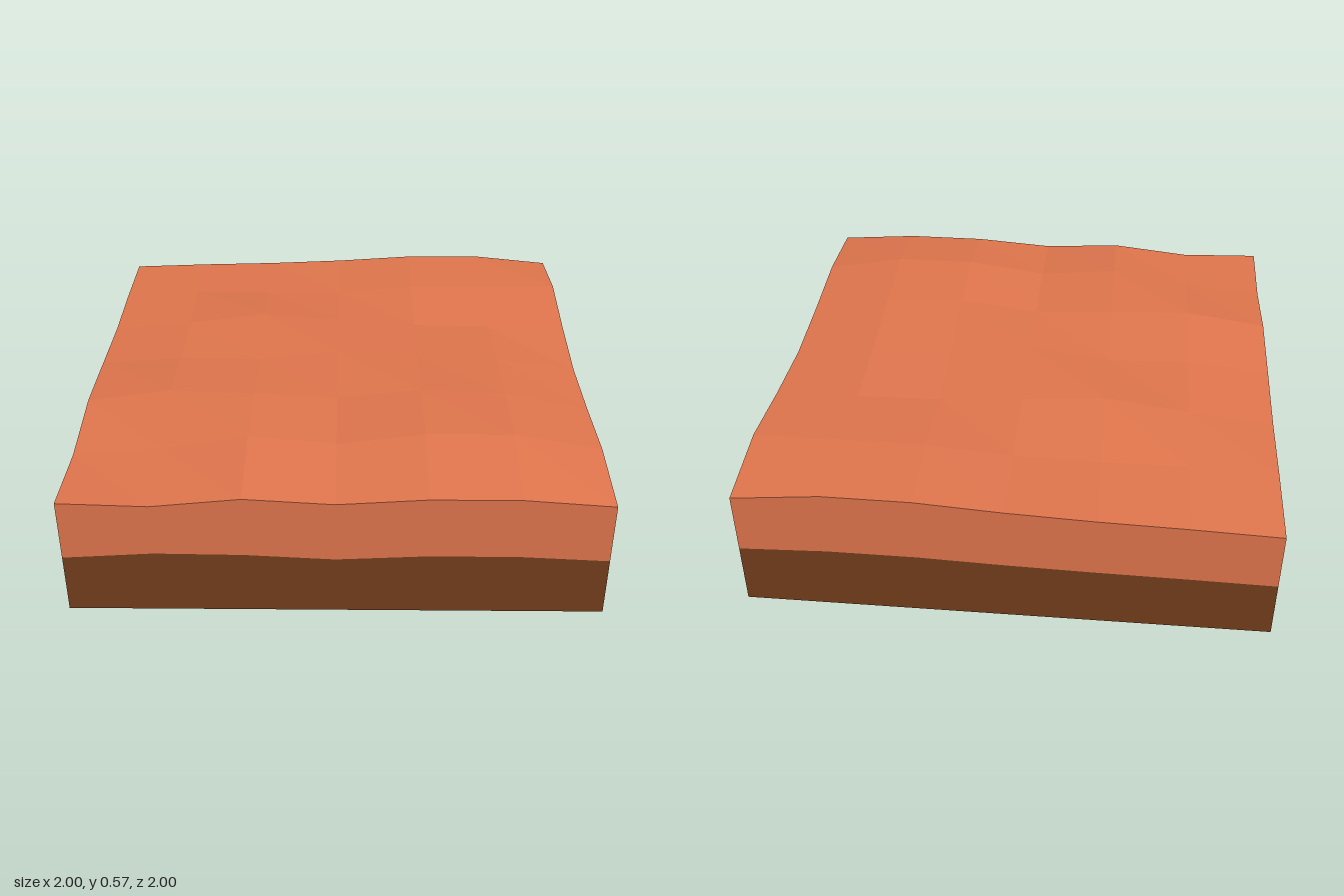
import * as THREE from 'three';

// Surface heights on a 7 x 7 grid: rows run from back (z = -1) to front, columns from x = -1 to 1
const SURFACE = [
  [0.475, 0.488, 0.497, 0.512, 0.535, 0.537, 0.503],
  [0.48, 0.50, 0.50, 0.505, 0.535, 0.537, 0.537],
  [0.475, 0.51, 0.556, 0.53, 0.505, 0.50, 0.497],
  [0.492, 0.52, 0.512, 0.556, 0.53, 0.52, 0.47],
  [0.508, 0.556, 0.545, 0.525, 0.565, 0.55, 0.484],
  [0.467, 0.50, 0.556, 0.525, 0.57, 0.57, 0.508],
  [0.484, 0.473, 0.508, 0.487, 0.51, 0.51, 0.484],
];
// Seam between the layers along the front and right sides
const SEAM_FRONT = [0.24, 0.262, 0.258, 0.24, 0.257, 0.257, 0.24];
const SEAM_RIGHT = [0.255, 0.28, 0.255, 0.235, 0.24, 0.257, 0.24];

const surface = (i, j) => SURFACE[j][i];
const seam = (i, j) =>
  j === 6 ? SEAM_FRONT[i] : i === 6 ? SEAM_RIGHT[j] : SURFACE[j][i] / 2;
const ground = () => 0;

// A square slab whose lower and upper faces follow height rules
function layer(name, lower, upper, color) {
  const box = new THREE.BoxGeometry(2, 1, 2, 6, 1, 6);
  box.rotateY(Math.PI / 2); // turns the facet diagonals from back-left to front-right
  const geometry = box.toNonIndexed();
  const p = geometry.attributes.position;
  for (let k = 0; k < p.count; k++) {
    const i = Math.round((p.getX(k) + 1) * 3);
    const j = Math.round((p.getZ(k) + 1) * 3);
    p.setY(k, (p.getY(k) > 0 ? upper : lower)(i, j));
  }
  geometry.computeVertexNormals();
  const mesh = new THREE.Mesh(
    geometry,
    new THREE.MeshStandardMaterial({ color, flatShading: true })
  );
  mesh.name = name;
  return mesh;
}

export function createModel() {
  const group = new THREE.Group();
  group.name = 'terrainTile';
  group.add(
    layer('soilBase', ground, seam, 0x733d1c),
    layer('clayTop', seam, surface, 0xdd744c)
  );
  return group;
}
